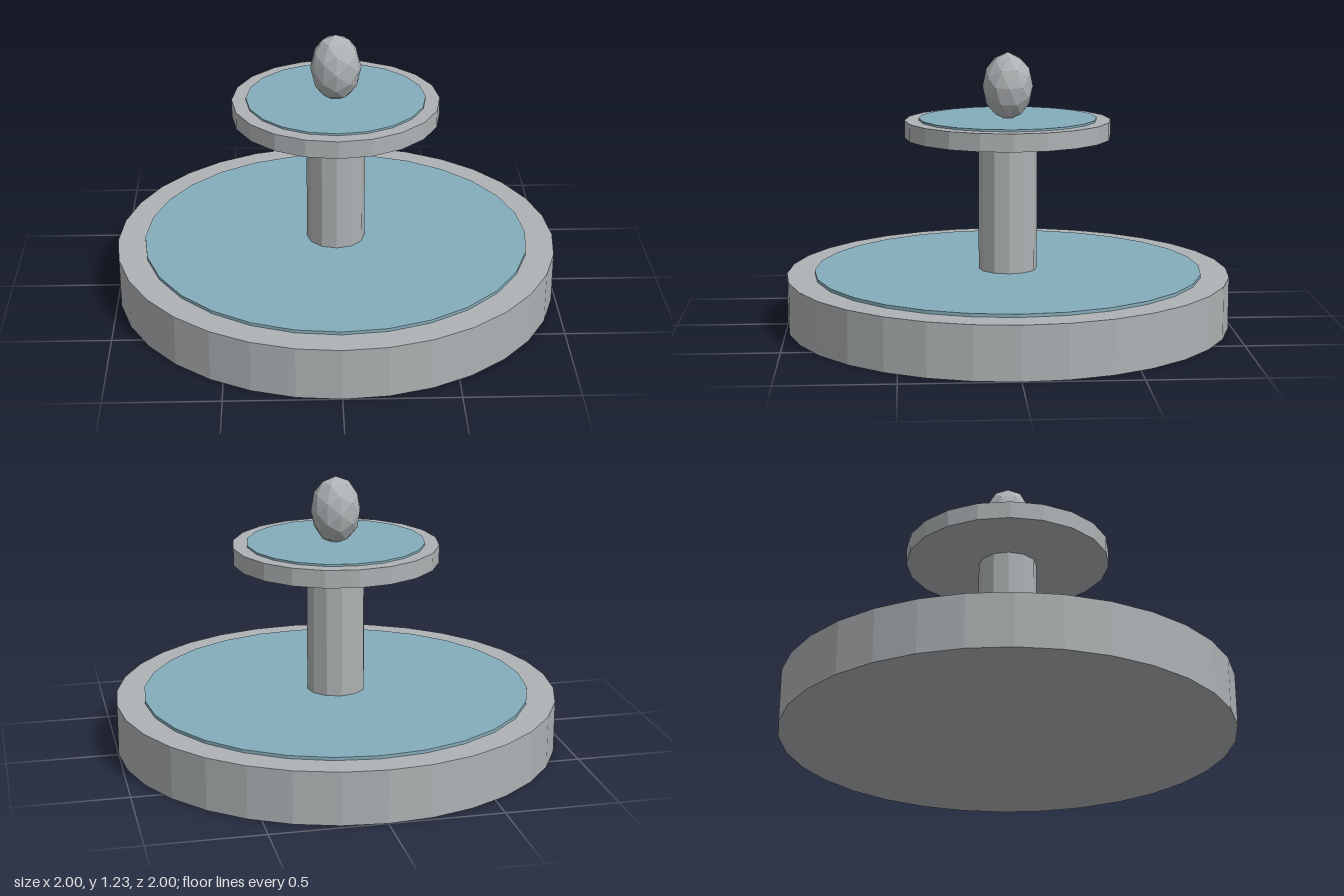
import * as THREE from 'three';

export function createModel() {
  const fountain = new THREE.Group();
  fountain.name = 'fountain';

  const stone = new THREE.MeshStandardMaterial({ color: 0xaeb2b4, flatShading: true });
  stone.name = 'stone';
  const water = new THREE.MeshStandardMaterial({ color: 0x85adbb, flatShading: true });
  water.name = 'water';

  // Upright disc or column spanning two heights
  function addDrum(name, material, radius, bottom, top, sides) {
    const mesh = new THREE.Mesh(
      new THREE.CylinderGeometry(radius, radius, top - bottom, sides),
      material
    );
    mesh.name = name;
    mesh.position.y = (bottom + top) / 2;
    fountain.add(mesh);
  }

  // Lower pool
  addDrum('basin', stone, 1, 0, 0.235, 32);
  addDrum('basinWater', water, 0.875, 0.225, 0.249, 28);

  // Column carrying the upper bowl
  addDrum('column', stone, 0.132, 0.235, 0.86, 12);
  addDrum('upperBowl', stone, 0.463, 0.85, 0.929, 20);
  addDrum('upperBowlWater', water, 0.4, 0.92, 0.938, 20);

  // Faceted egg-shaped finial
  const finial = new THREE.Mesh(new THREE.IcosahedronGeometry(0.113, 1), stone);
  finial.name = 'finial';
  finial.scale.y = 1.35;
  finial.position.y = 1.08;
  fountain.add(finial);

  return fountain;
}
